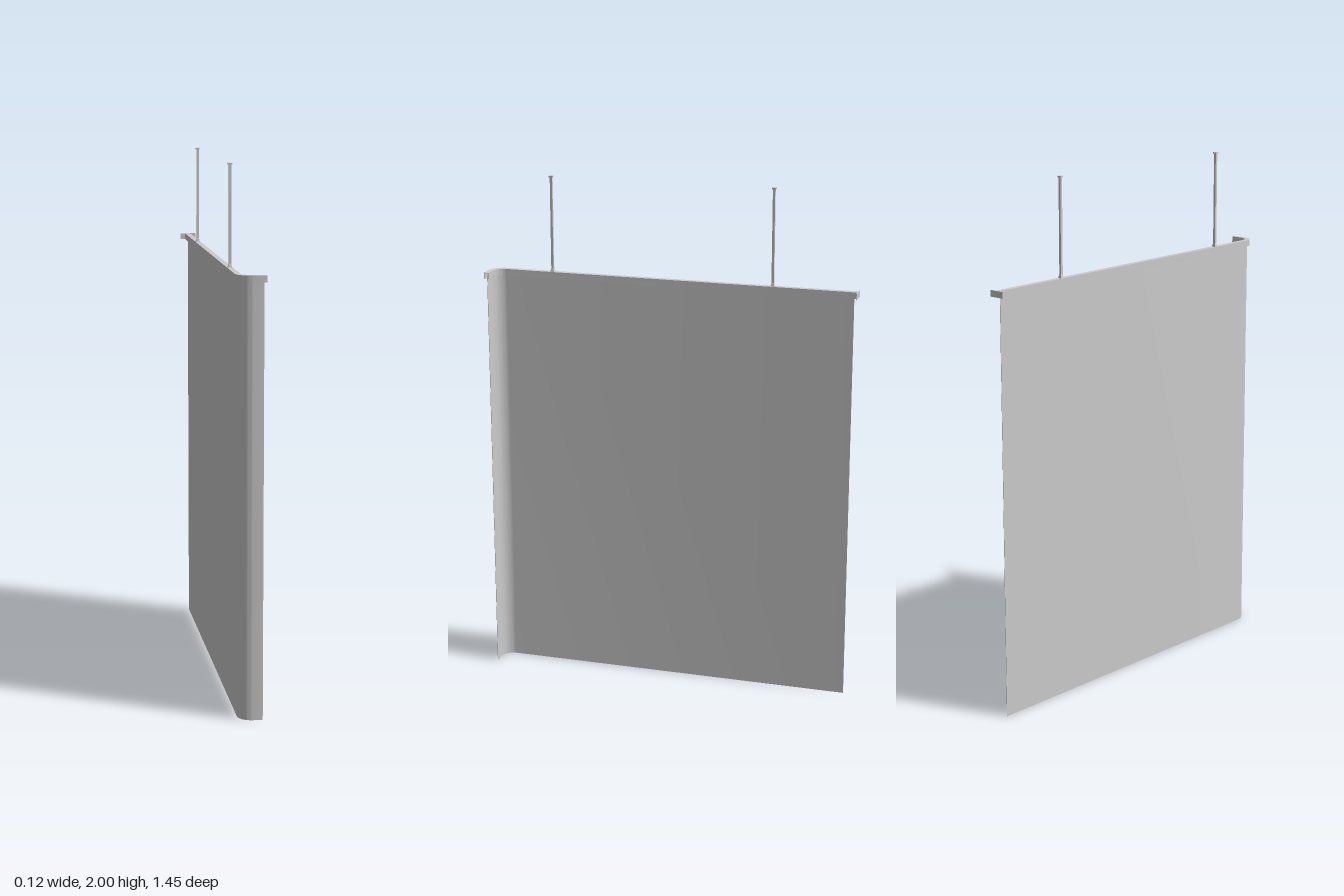
import * as THREE from 'three';
import { toCreasedNormals } from 'three/addons/utils/BufferGeometryUtils.js';

const grey = new THREE.MeshStandardMaterial({ color: 0xcccccc, side: THREE.DoubleSide });
const RAIL_X = -0.033, FRONT_Z = 0.714, BEND = 0.052;
const RAIL_BOTTOM = 1.602, RAIL_TOP = 1.626;

function add(group, name, geometry, x = 0, y = 0, z = 0) {
  const mesh = new THREE.Mesh(geometry, grey);
  mesh.name = name;
  mesh.position.set(x, y, z);
  group.add(mesh);
  return mesh;
}

// Plan line of the hooked track, shifted sideways (positive is the outer side of the bend)
function planLine(offset, backZ, endX) {
  const cx = RAIL_X + BEND, cz = FRONT_Z - BEND, r = BEND + offset;
  const pts = [[RAIL_X - offset, backZ]];
  for (let i = 0; i <= 16; i++) {
    const a = (i / 16) * Math.PI / 2;
    pts.push([cx - r * Math.cos(a), cz + r * Math.sin(a)]);
  }
  pts.push([endX, FRONT_Z + offset]);
  return pts;
}

// Upright band that follows the plan line between two offsets
function strip(inner, outer, y0, y1, backZ, endX) {
  const loop = [...planLine(inner, backZ, endX), ...planLine(outer, backZ, endX).reverse()];
  const shape = new THREE.Shape(loop.map(([x, z]) => new THREE.Vector2(x, -z)));
  const geo = new THREE.ExtrudeGeometry(shape, { depth: y1 - y0, bevelEnabled: false });
  geo.rotateX(-Math.PI / 2).translate(0, y0, 0);
  return toCreasedNormals(geo, 0.6);
}

export function createModel() {
  const model = new THREE.Group();
  model.name = 'hangingCurtain';

  // Curtain sheet
  add(model, 'curtain', strip(-0.0008, 0.0008, 0, 1.615, -0.712, 0.054));

  // Track: channel with a slot underneath
  const track = new THREE.Group();
  track.name = 'track';
  model.add(track);
  const half = 0.0105, wall = 0.002;
  const rail = (name, a, b, y0, y1) => add(track, name, strip(a, b, y0, y1, -0.724, 0.0625));
  rail('trackTop', -half, half, RAIL_TOP - wall, RAIL_TOP);
  for (const [side, s] of [['inner', -1], ['outer', 1]]) {
    const band = (a, b) => [Math.min(s * a, s * b), Math.max(s * a, s * b)];
    rail(side + 'Wall', ...band(half - wall, half), RAIL_BOTTOM, RAIL_TOP - wall);
    rail(side + 'Lip', ...band(0.004, half - wall), RAIL_BOTTOM, RAIL_BOTTOM + wall);
  }

  // Wall plate at the back end
  add(model, 'wallPlate', new THREE.BoxGeometry(0.062, RAIL_TOP - RAIL_BOTTOM, 0.003),
    RAIL_X + 0.0015, (RAIL_TOP + RAIL_BOTTOM) / 2, -0.7255);

  // Square ceiling hangers with flared foot and cap
  for (const z of [-0.4, 0.476]) {
    const hanger = new THREE.Group();
    hanger.name = 'hanger';
    hanger.position.set(RAIL_X, 0, z);
    model.add(hanger);
    const flare = (top, bottom, h) =>
      new THREE.CylinderGeometry(top * Math.SQRT1_2, bottom * Math.SQRT1_2, h, 4).rotateY(Math.PI / 4).toNonIndexed();
    const foot = flare(0.009, 0.016, 0.014);
    foot.computeVertexNormals();
    add(hanger, 'foot', foot, 0, RAIL_TOP + 0.007, 0);
    add(hanger, 'rod', new THREE.BoxGeometry(0.009, 1.996 - RAIL_TOP, 0.009), 0, (1.996 + RAIL_TOP) / 2, 0);
    add(hanger, 'cap', new THREE.BoxGeometry(0.015, 0.006, 0.015), 0, 1.997, 0);
  }
  return model;
}
